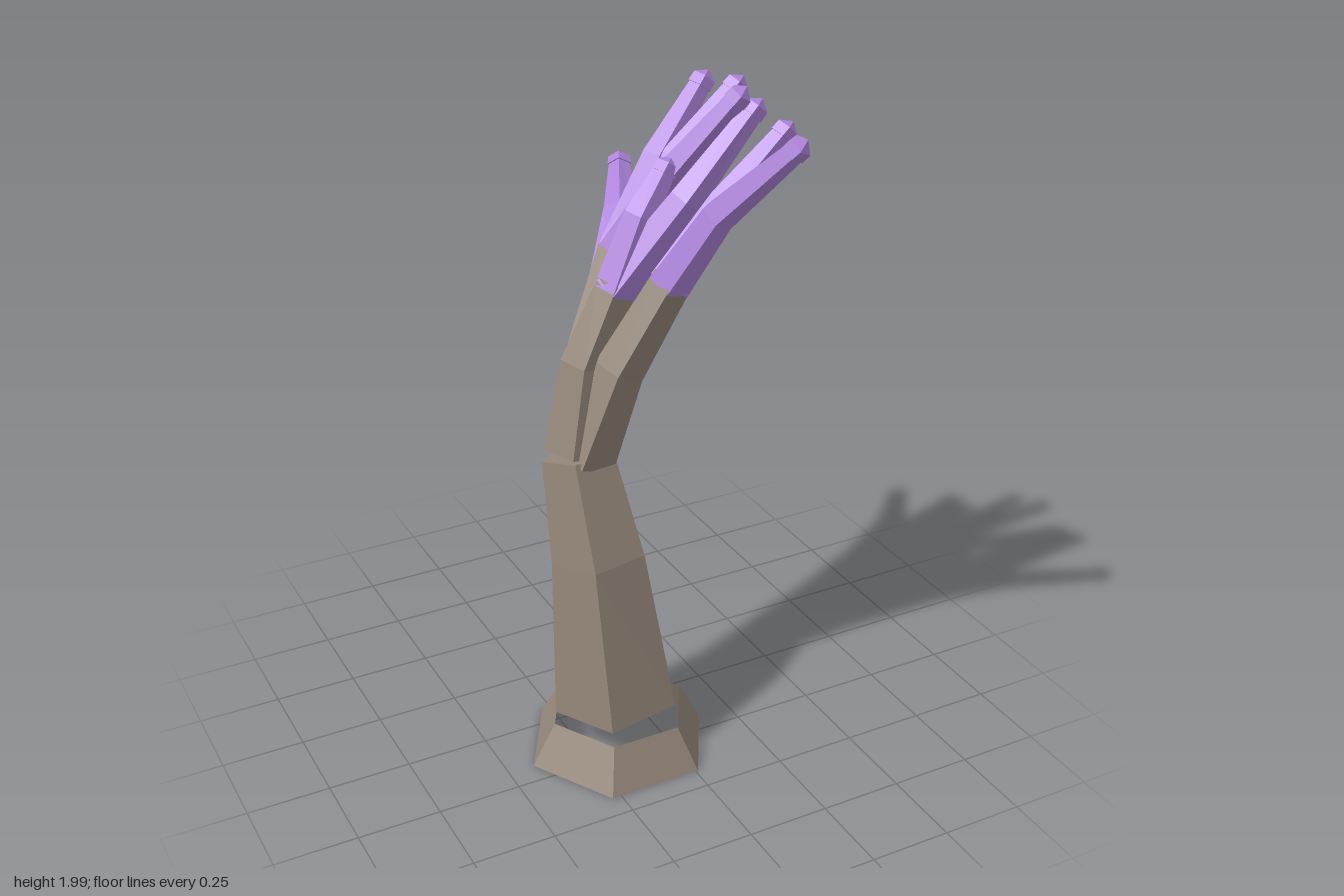
import * as THREE from 'three';

const UP = new THREE.Vector3(0, 1, 0);

// Five-sided limb through centre points with a radius at each; zero radius makes a point
function limbGeometry(points, radii, twist = 0.84, sides = 5) {
  const pts = points.map(p => new THREE.Vector3(...p));
  const n = pts.length;
  const rings = pts.map((p, i) => {
    const dir = pts[Math.min(i + 1, n - 1)].clone().sub(pts[Math.max(i - 1, 0)]).normalize();
    const q = new THREE.Quaternion().setFromUnitVectors(UP, dir);
    return Array.from({ length: sides }, (_, s) => {
      const a = twist + (s / sides) * Math.PI * 2;
      return new THREE.Vector3(Math.cos(a), 0, Math.sin(a)).multiplyScalar(radii[i]).applyQuaternion(q).add(p);
    });
  });
  const out = [];
  const tri = (...vs) => vs.forEach(v => out.push(v.x, v.y, v.z));
  for (let s = 0; s < sides; s++) {
    const t = (s + 1) % sides;
    for (let i = 0; i < n - 1; i++) {
      const lo = rings[i], hi = rings[i + 1];
      tri(lo[s], hi[s], hi[t]);
      if (radii[i] > 0) tri(lo[s], hi[t], lo[t]);
    }
    tri(pts[0], rings[0][s], rings[0][t]);
    if (radii[n - 1] > 0) tri(pts[n - 1], rings[n - 1][t], rings[n - 1][s]);
  }
  const g = new THREE.BufferGeometry();
  g.setAttribute('position', new THREE.Float32BufferAttribute(out, 3));
  g.computeVertexNormals();
  return g;
}

// Each branch: path from the fork, then its fingers as [kink, tip]
const branches = [
  {
    path: [[-0.19, 0.95, 0.08], [-0.1, 1.23, 0.125], [0.035, 1.5, 0.185]],
    fingers: [
      [[0.12, 1.69, 0.27], [0.28, 1.93, 0.45]],
      [[0.19, 1.69, 0.19], [0.4, 1.89, 0.19]],
    ],
  },
  {
    path: [[-0.2, 0.96, 0.06], [-0.12, 1.25, 0], [0.0, 1.52, -0.065]],
    fingers: [
      [[0.11, 1.73, 0.02], [0.28, 1.99, 0.14]],
      [[0.17, 1.74, -0.055], [0.38, 1.96, -0.045]],
      [[0.14, 1.74, -0.1], [0.32, 1.96, -0.14]],
    ],
  },
  {
    path: [[-0.19, 0.95, 0.04], [-0.09, 1.2, -0.06], [0.025, 1.39, -0.17]],
    fingers: [
      [[0.11, 1.53, -0.28], [0.2, 1.64, -0.46]],
      [[0.17, 1.52, -0.22], [0.35, 1.67, -0.305]],
      [[0.14, 1.52, -0.2], [0.275, 1.68, -0.23]],
      [[0.18, 1.51, -0.19], [0.365, 1.66, -0.23]],
    ],
  },
  {
    path: [[-0.21, 0.97, 0.065], [-0.17, 1.23, 0.055], [-0.075, 1.46, 0.065]],
    fingers: [
      [[0.0, 1.64, 0.06], [0.11, 1.79, 0.035]],
      [[0.1, 1.69, 0.13], [0.33, 1.95, 0.14]],
    ],
  },
];

export function createModel() {
  const model = new THREE.Group();
  model.name = 'branchingPlant';
  const bark = new THREE.MeshStandardMaterial({ color: 0x95877a, flatShading: true });
  bark.name = 'bark';
  const barkShell = new THREE.MeshStandardMaterial({ color: 0x95877a, flatShading: true, side: THREE.DoubleSide });
  barkShell.name = 'barkShell';
  const purple = new THREE.MeshStandardMaterial({ color: 0xae84dc, flatShading: true });
  purple.name = 'purple';

  const add = (parent, name, geometry, material) => {
    const mesh = new THREE.Mesh(geometry, material);
    mesh.name = name;
    parent.add(mesh);
    return mesh;
  };

  // Open six-sided collar on the ground
  const base = add(model, 'baseRing', new THREE.CylinderGeometry(0.212, 0.285, 0.13, 6, 1, true, Math.PI / 2), barkShell);
  base.position.set(-0.135, 0.065, 0.18);

  // Leaning, tapering trunk
  add(model, 'trunk', limbGeometry(
    [[-0.135, 0.15, 0.17], [-0.17, 0.65, 0.13], [-0.198, 0.955, 0.06]], [0.19, 0.143, 0.11]), bark);

  // Branches, each ending in a spray of fingers with pointed tips
  branches.forEach(({ path, fingers }, b) => {
    const group = new THREE.Group();
    group.name = `branchGroup${b + 1}`;
    model.add(group);
    add(group, 'branch', limbGeometry(path, [0.095, 0.075, 0.06]), bark);
    const start = new THREE.Vector3(...path[2]);
    const before = new THREE.Vector3(...path[1]);
    const root = start.clone().add(before.sub(start).setLength(0.025));
    fingers.forEach(([kink, tip]) => {
      const end = new THREE.Vector3(...tip);
      const back = new THREE.Vector3(...kink).sub(end).normalize();
      const along = d => end.clone().addScaledVector(back, d).toArray();
      add(group, 'finger', limbGeometry([root.toArray(), kink, along(0.04)], [0.062, 0.05, 0.032]), purple);
      add(group, 'fingerTip', limbGeometry([along(0.055), along(0.025), along(0)], [0.037, 0.035, 0]), purple);
    });
  });
  return model;
}
